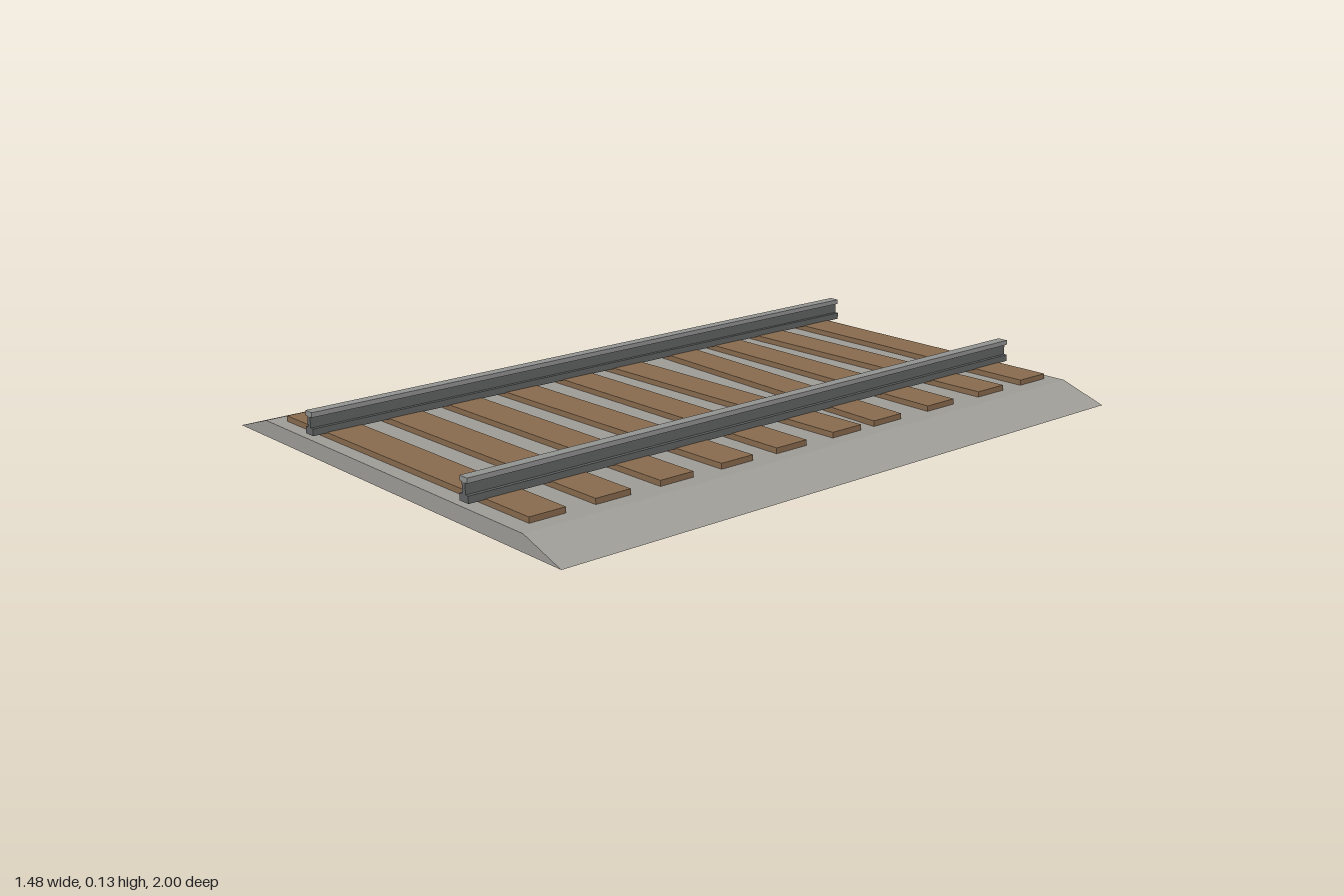
import * as THREE from 'three';

const mat = (name, color) => {
  const m = new THREE.MeshStandardMaterial({ color, flatShading: true });
  m.name = name;
  return m;
};

// Extrudes an x/y outline along the full length of the track
function trackProfile(name, points, material) {
  const shape = new THREE.Shape(points.map(([x, y]) => new THREE.Vector2(x, y)));
  const geo = new THREE.ExtrudeGeometry(shape, { depth: 2, bevelEnabled: false });
  geo.translate(0, 0, -1);
  const mesh = new THREE.Mesh(geo, material);
  mesh.name = name;
  return mesh;
}

export function createModel() {
  const gravel = mat('gravel grey', 0x9f9d97);
  const wood = mat('sleeper brown', 0x896b4e);
  const steel = mat('dark steel', 0x626364);
  const worn = mat('worn steel', 0x929492);
  const model = new THREE.Group();
  model.name = 'railwayTrack';

  // Ballast bed with sloping shoulders
  model.add(trackProfile('ballast', [[-0.74, 0], [0.74, 0], [0.597, 0.047], [-0.597, 0.047]], gravel));

  // Sleepers: centre z at the -x end and at the +x end, slightly skewed
  const sleepers = [
    [-0.893, -0.91], [-0.682, -0.72], [-0.501, -0.501], [-0.323, -0.281], [-0.083, -0.121],
    [0.107, 0.088], [0.316, 0.283], [0.511, 0.488], [0.71, 0.693], [0.905, 0.893],
  ];
  sleepers.forEach(([zRight, zLeft], i) => {
    const geo = new THREE.BoxGeometry(1.1, 0.063, 0.11);
    const p = geo.attributes.position;
    for (let k = 0; k < p.count; k++) {
      p.setZ(k, p.getZ(k) + (p.getX(k) < 0 ? zRight : zLeft));
    }
    geo.computeVertexNormals();
    const sleeper = new THREE.Mesh(geo, wood);
    sleeper.name = `sleeper${i + 1}`;
    sleeper.position.y = 0.0315;
    model.add(sleeper);
  });

  // Rails: foot and web in dark steel, head worn by wheels
  const foot = 0.018, web = 0.007, head = 0.016;
  for (const side of [-1, 1]) {
    const rail = new THREE.Group();
    rail.name = side > 0 ? 'leftRail' : 'rightRail';
    rail.add(trackProfile('footAndWeb', [
      [-foot, 0.061], [foot, 0.061], [foot, 0.081], [web, 0.081],
      [web, 0.112], [-web, 0.112], [-web, 0.081], [-foot, 0.081],
    ], steel));
    rail.add(trackProfile('head', [[-head, 0.112], [head, 0.112], [head, 0.126], [-head, 0.126]], worn));
    rail.position.x = side * 0.36;
    model.add(rail);
  }
  return model;
}
